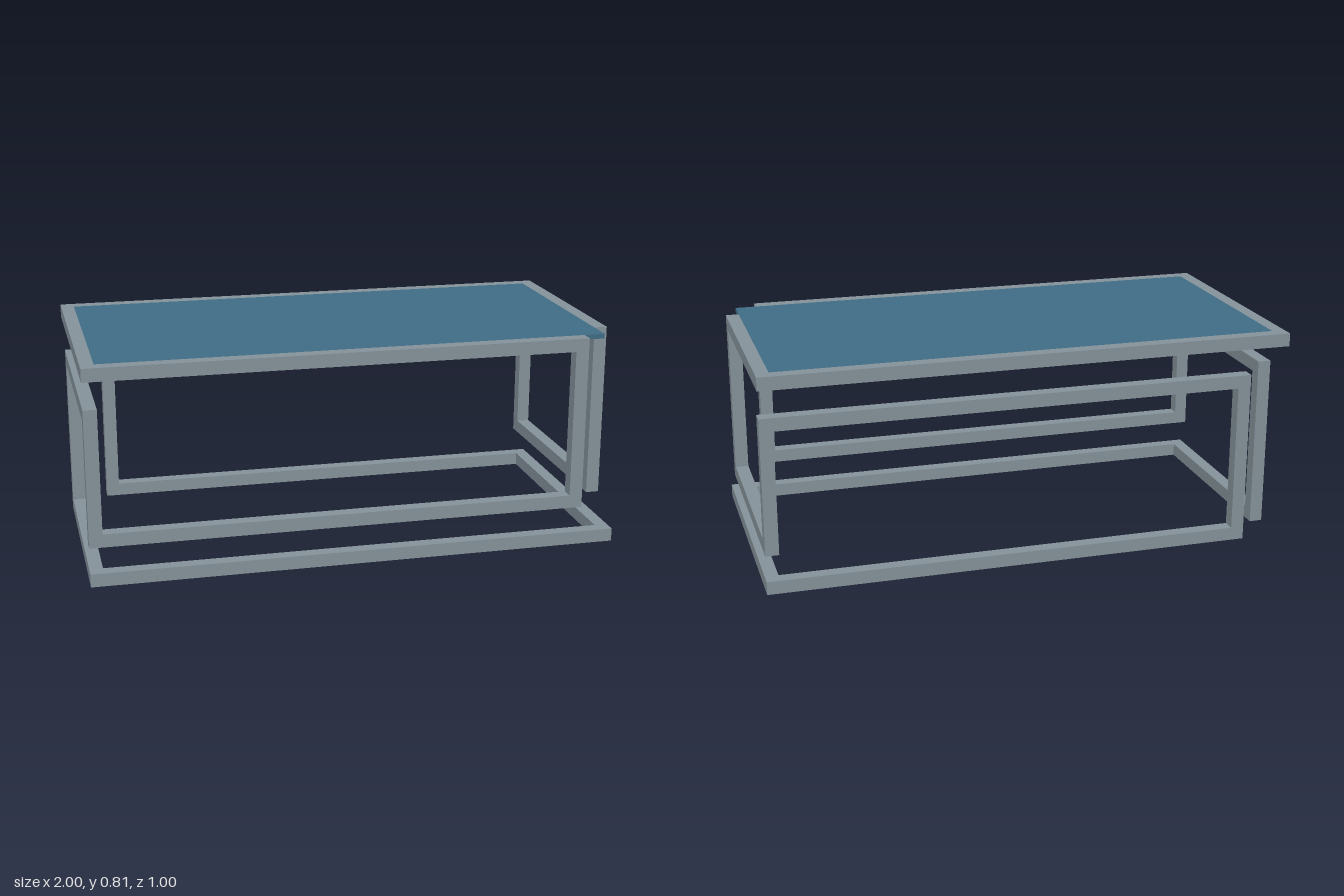
import * as THREE from 'three';

const T = 0.05; // square bar thickness

// Box bar between two corner centres: covers the end corner, stops short of the start corner
function makeBar(from, to, material) {
  const dir = to.clone().sub(from).normalize();
  const length = from.distanceTo(to);
  const size = ['x', 'y', 'z'].map((a) => (Math.abs(dir[a]) > 0.5 ? length : T));
  const bar = new THREE.Mesh(new THREE.BoxGeometry(...size), material);
  bar.position.copy(from).add(to).multiplyScalar(0.5).addScaledVector(dir, T / 2);
  return bar;
}

export function createModel() {
  const steel = new THREE.MeshStandardMaterial({ color: 0x87959d });
  steel.name = 'grey steel';
  const blue = new THREE.MeshStandardMaterial({ color: 0x416f88 });
  blue.name = 'blue glass';

  const table = new THREE.Group();
  table.name = 'coffeeTable';

  // The frame is one continuous closed loop of square bar
  const X = 0.975, Z = 0.475;
  const top = 0.79, high = 0.64, low = 0.175, floor = 0.025;
  const path = [
    // top rim, open at the front left corner
    ['topFront', 0.845, top, Z], ['topRight', -X, top, Z],
    ['topBack', -X, top, -Z], ['topLeft', X, top, -Z],
    // left side and back
    ['leftFrontPost', X, top, 0.325], ['leftLowRail', X, low, 0.325],
    ['leftBackPost', X, low, -Z], ['backHighRail', X, high, -Z],
    ['backPost', -0.825, high, -Z],
    // base rim, open at the back right corner
    ['baseBack', -0.825, floor, -Z], ['baseLeft', X, floor, -Z],
    ['baseFront', X, floor, Z], ['baseRight', -X, floor, Z],
    // right side and front
    ['rightBackPost', -X, floor, -0.325], ['rightHighRail', -X, high, -0.325],
    ['rightFrontPost', -X, high, Z], ['frontLowRail', -X, low, Z],
    ['frontPost', 0.845, low, Z],
  ];
  const frame = new THREE.Group();
  frame.name = 'frame';
  path.forEach(([name, ...p], i) => {
    const next = path[(i + 1) % path.length].slice(1);
    const bar = makeBar(new THREE.Vector3(...p), new THREE.Vector3(...next), steel);
    bar.name = name;
    frame.add(bar);
  });
  table.add(frame);

  // Table top set inside the rim, flush with its upper face
  const panel = new THREE.Mesh(new THREE.BoxGeometry(1.9, 0.018, 0.9), blue);
  panel.name = 'tableTop';
  panel.position.y = 0.806;
  table.add(panel);

  return table;
}
